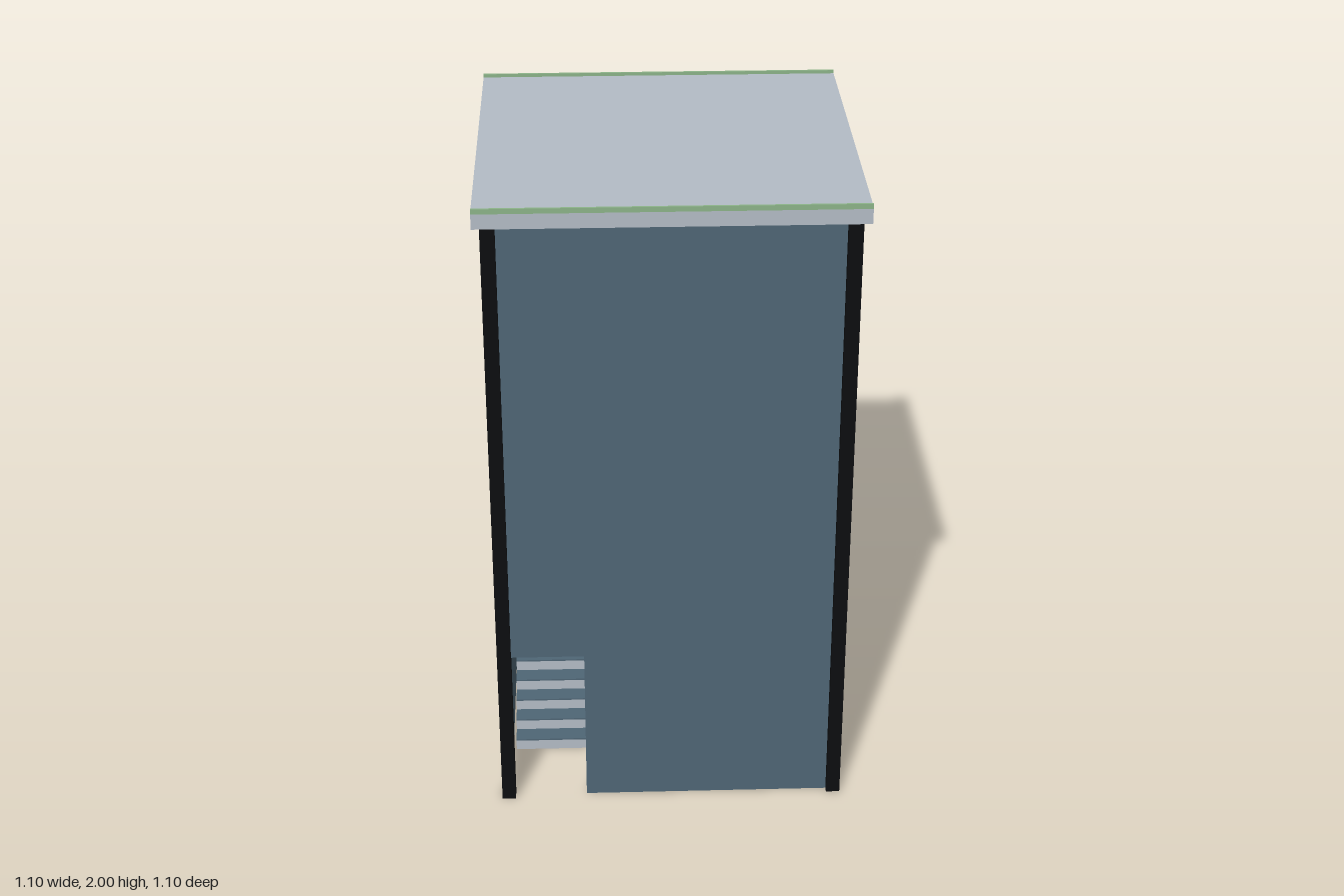
import * as THREE from 'three';

const mat = (name, color) => Object.assign(new THREE.MeshStandardMaterial({ color }), { name });

export function createModel() {
  const blue = mat('slateBlue', 0x4f6675);
  const grey = mat('paleGrey', 0xb4bcc6);
  const green = mat('sageGreen', 0x8cb489);
  const black = mat('black', 0x0c0d0f);

  const tower = new THREE.Group();
  tower.name = 'tower';

  // Box given by its minimum and maximum corners
  const box = (name, material, x0, x1, y0, y1, z0, z1) => {
    const mesh = new THREE.Mesh(new THREE.BoxGeometry(x1 - x0, y1 - y0, z1 - z0), material);
    mesh.position.set((x0 + x1) / 2, (y0 + y1) / 2, (z0 + z1) / 2);
    mesh.name = name;
    tower.add(mesh);
    return mesh;
  };

  const eaves = 1.94;
  const half = 0.51;
  const thick = 0.01;

  // Thin wall panel facing +z, turned about y; opening = [u0, u1, y0, y1]
  const wall = (name, turn, opening) => {
    const w = half - 0.005;
    const rect = (P, [u0, u1, y0, y1]) => {
      const p = new P();
      p.moveTo(u0, y0);
      p.lineTo(u1, y0);
      p.lineTo(u1, y1);
      p.lineTo(u0, y1);
      p.closePath();
      return p;
    };
    let shape;
    if (opening && opening[2] === 0) {
      // doorway cut up from the ground
      const [u0, u1, , y1] = opening;
      shape = new THREE.Shape([[-w, 0], [u0, 0], [u0, y1], [u1, y1], [u1, 0], [w, 0], [w, eaves], [-w, eaves]]
        .map(([x, y]) => new THREE.Vector2(x, y)));
    } else {
      shape = rect(THREE.Shape, [-w, w, 0, eaves]);
      if (opening) shape.holes.push(rect(THREE.Path, opening));
    }
    const geometry = new THREE.ExtrudeGeometry(shape, { depth: thick, bevelEnabled: false });
    geometry.translate(0, 0, half - thick);
    const mesh = new THREE.Mesh(geometry, blue);
    mesh.rotation.y = turn;
    mesh.name = name;
    tower.add(mesh);
  };
  wall('frontWall', 0, [-0.49, -0.265, 0, 0.515]);
  wall('leftWall', Math.PI / 2, [0.145, 0.36, 1.47, 1.67]);
  wall('backWall', Math.PI);
  wall('rightWall', -Math.PI / 2, [0.265, 0.49, 1.27, 1.815]);

  // Corner posts
  for (const sx of [-1, 1]) {
    for (const sz of [-1, 1]) {
      const post = box('cornerPost', black, -0.021, 0.021, 0, eaves, -0.021, 0.021);
      post.position.x = sx * 0.508;
      post.position.z = sz * 0.508;
    }
  }

  // Roof slab with raised trims along front and back
  box('roof', grey, -0.55, 0.55, eaves, 1.99, -0.55, 0.55);
  for (const s of [-1, 1]) {
    const trim = box('roofTrim', green, -0.55, 0.55, 1.985, 2, -0.0035, 0.0035);
    trim.position.z = s * 0.5475;
  }

  // Inner partition
  box('partition', blue, -0.02, -0.01, 0, eaves, -0.5, 0.5);

  // Staircase behind the door: green sides, grey risers, blue treads
  const sx0 = -0.49, sx1 = -0.265;
  const count = 9, rise = 0.345 / count, run = 0.51 / count;
  const sides = [green, green, grey, grey, grey, grey];
  for (let i = 0; i < count; i++) {
    const z1 = 0.27 - i * run;
    const top = (i + 1) * rise;
    box('step', sides, sx0, sx1, 0, top - 0.005, z1 - run, z1);
    box('tread', blue, sx0, sx1, top - 0.005, top, z1 - run, z1);
  }

  // Landings and loft floor: grey slabs with blue tops
  const slab = (name, x0, x1, top, z0, z1) => {
    box(name, grey, x0, x1, top - 0.06, top - 0.003, z0, z1);
    box(name + 'Top', blue, x0, x1, top - 0.003, top, z0, z1);
  };
  slab('lowerLanding', sx0, sx1, 0.345, -0.5, -0.24);
  slab('upperLanding', -0.505, sx1, 1.33, 0.265, 0.49);
  box('loftFloor', grey, -0.01, 0.5, 1.42, 1.48, -0.5, 0.5);

  // Round window: faceted ring in the square opening with a thin upright vane
  const R = 0.096, r = 0.089;
  const profile = [[r, -0.02], [R, -0.02], [R, 0.02], [r, 0.02], [r, -0.02]]
    .map(([x, y]) => new THREE.Vector2(x, y));
  const ringGeometry = new THREE.LatheGeometry(profile, 20).toNonIndexed();
  ringGeometry.computeVertexNormals();
  const ring = new THREE.Mesh(ringGeometry, green);
  ring.rotation.z = Math.PI / 2;
  ring.position.set(0.52, 1.568, -0.252);
  ring.name = 'windowRing';
  tower.add(ring);
  box('windowVane', black, 0.485, 0.52, 1.49, 1.645, -0.253, -0.251);

  return tower;
}
